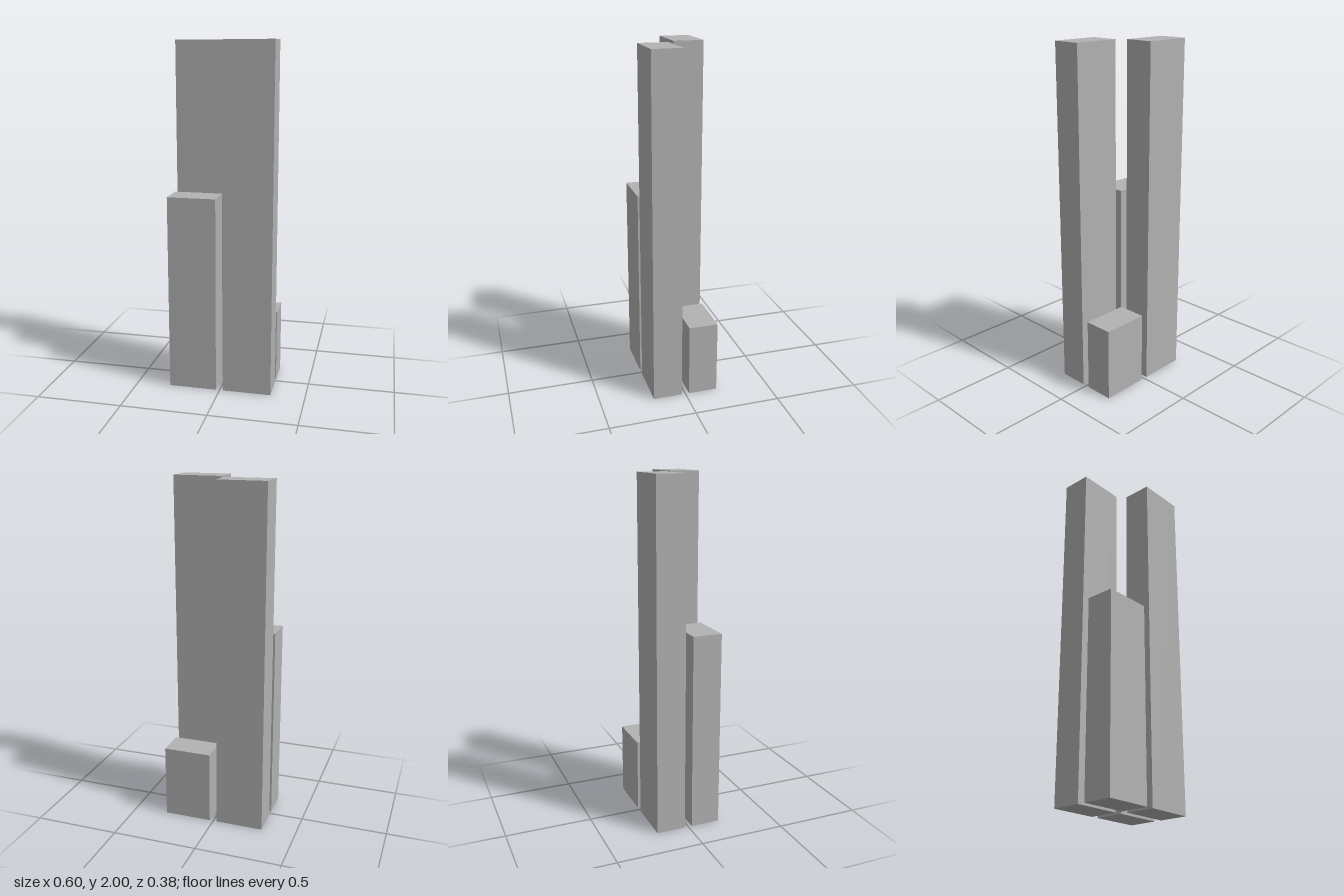
import * as THREE from 'three';

export function createModel() {
  const model = new THREE.Group();
  model.name = 'towerCluster';

  const grey = new THREE.MeshStandardMaterial({ color: 0xb2b2b2 });
  grey.name = 'grey';

  // Four towers on a 2 x 2 plan, separated by a cross-shaped gap
  const gap = 0.044, width = 0.279, depth = 0.17;
  const towers = [
    // name, side in x, side in z, height
    ['frontLeftTower', 1, 1, 2],
    ['frontRightTower', -1, 1, 1.14],
    ['backLeftTower', 1, -1, 0.43],
    ['backRightTower', -1, -1, 2],
  ];

  for (const [name, sx, sz, height] of towers) {
    const tower = new THREE.Mesh(new THREE.BoxGeometry(width, height, depth), grey);
    tower.name = name;
    tower.position.set(sx * (gap + width) / 2, height / 2, sz * (gap + depth) / 2);
    model.add(tower);
  }

  return model;
}
